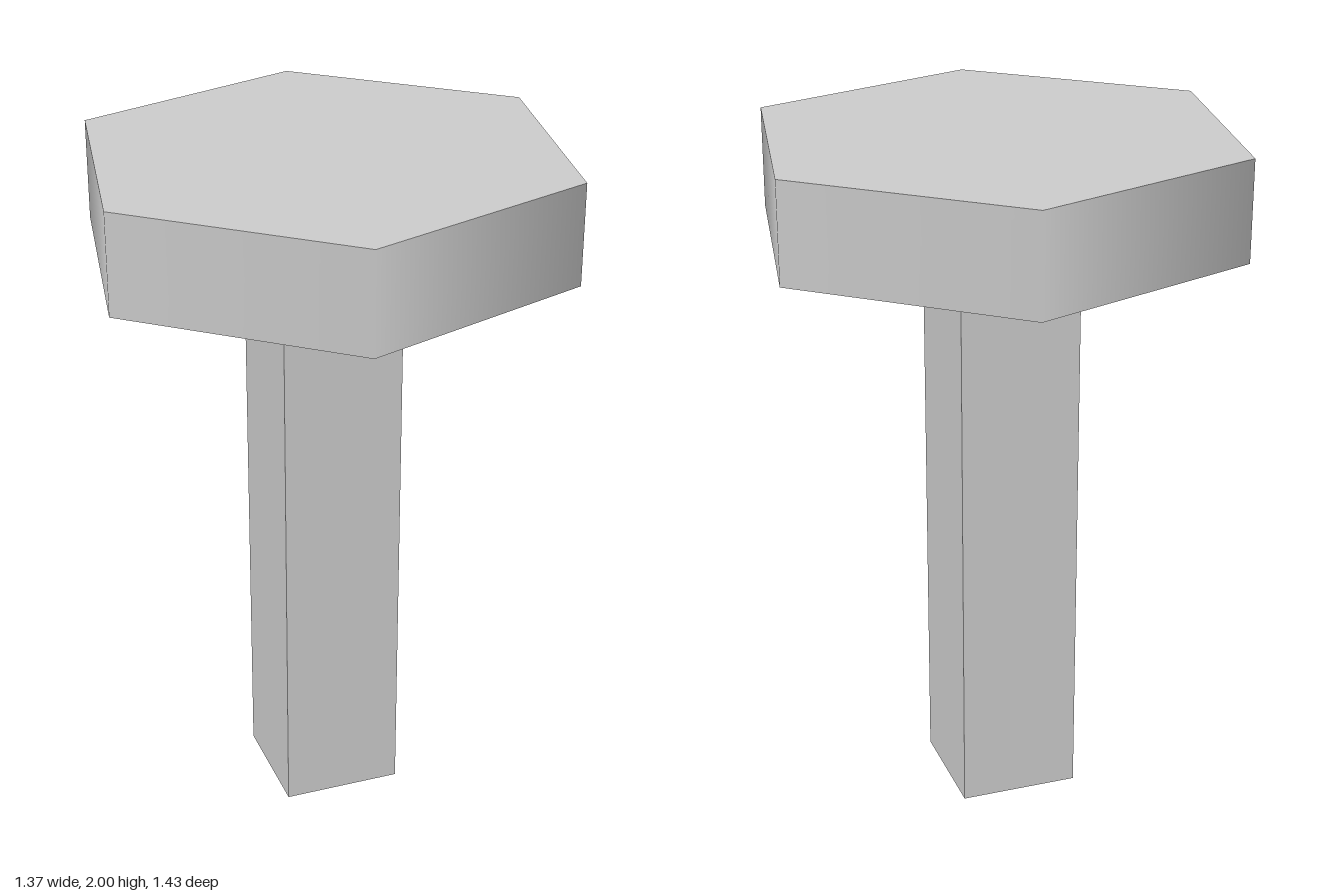
import * as THREE from 'three';

export function createModel() {
  const group = new THREE.Group();
  const material = new THREE.MeshStandardMaterial({ color: 0xcccccc });

  const headBottom = 1.71, headTop = 2;

  // Six-sided head, turned slightly about the vertical, with smooth side normals
  const headHeight = headTop - headBottom;
  const head = new THREE.Mesh(
    new THREE.CylinderGeometry(0.725, 0.725, headHeight, 6, 1, false, THREE.MathUtils.degToRad(49.6)),
    material
  );
  head.name = 'hexagonalHead';
  head.position.y = headBottom + headHeight / 2;
  group.add(head);

  // Square post, set slightly off centre under the head
  const post = new THREE.Mesh(new THREE.BoxGeometry(0.35, headBottom, 0.345), material);
  post.name = 'squarePost';
  post.position.set(-0.005, headBottom / 2, -0.013);
  group.add(post);

  return group;
}
